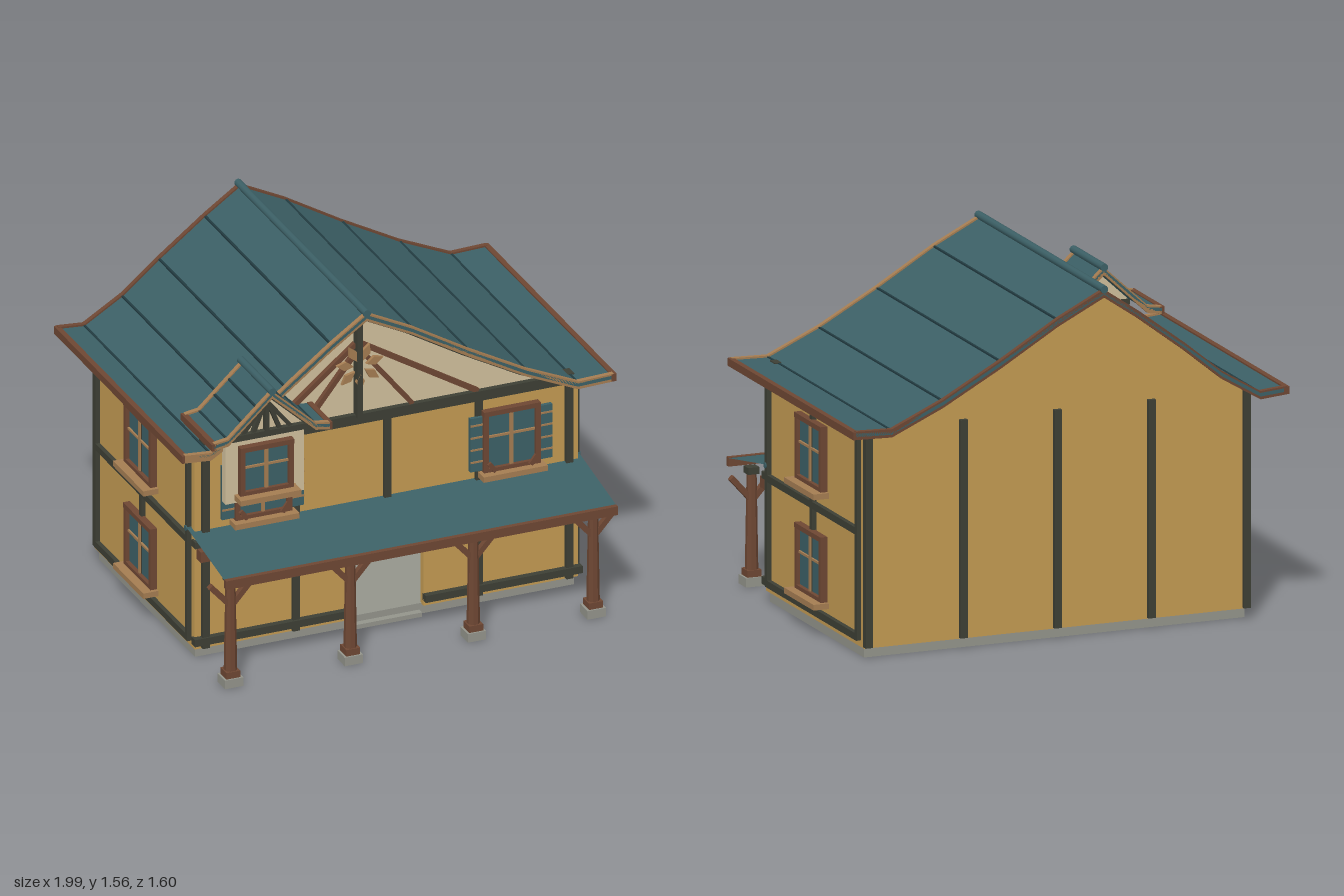
import * as THREE from 'three';

const mat = (name, color) => new THREE.MeshStandardMaterial({ name, color, side: THREE.DoubleSide });
const M = {
  wall: mat('ochre plaster', 0xc39a52), cream: mat('cream plaster', 0xd0bf9c),
  roof: mat('teal roof', 0x3c6066), seam: mat('dark teal seam', 0x223b41),
  dark: mat('dark timber', 0x3d3f35), brown: mat('brown wood', 0x6e4733),
  tan: mat('tan wood', 0xa57d52), stone: mat('grey stone', 0x93948b),
};

function add(parent, name, geo, material, x = 0, y = 0, z = 0) {
  const m = new THREE.Mesh(geo, material);
  m.name = name;
  m.position.set(x, y, z);
  parent.add(m);
  return m;
}
// box given by its min and max on each axis
function box(parent, name, material, x0, x1, y0, y1, z0, z1) {
  return add(parent, name, new THREE.BoxGeometry(x1 - x0, y1 - y0, z1 - z0), material,
    (x0 + x1) / 2, (y0 + y1) / 2, (z0 + z1) / 2);
}
// sloping beam between two points of a vertical plane facing z
function beam(parent, name, material, [xa, ya], [xb, yb], w, z, d) {
  const m = add(parent, name, new THREE.BoxGeometry(Math.hypot(xb - xa, yb - ya), w, d), material,
    (xa + xb) / 2, (ya + yb) / 2, z);
  m.rotation.z = Math.atan2(yb - ya, xb - xa);
}
// outline extruded from z0 to z1
function slab(parent, name, material, pts, z0, z1) {
  const shape = new THREE.Shape(pts.map(p => new THREE.Vector2(p[0], p[1])));
  const geo = new THREE.ExtrudeGeometry(shape, { depth: z1 - z0, bevelEnabled: false });
  return add(parent, name, geo, material, 0, 0, z0);
}
// band that follows a roof profile, between two heights relative to it
function band(parent, name, material, profile, lo, hi, z0, z1) {
  const bottom = profile.map(([x, y]) => [x, y + lo]);
  const top = profile.map(([x, y]) => [x, y + hi]).reverse();
  return slab(parent, name, material, [...bottom, ...top], z0, z1);
}

// window facing +z with its back at z = 0, centred on x = 0, bottom at y = 0
function makeWindow(name, w, h, { shutters = false, sill = 0.05 } = {}) {
  const g = new THREE.Group();
  g.name = name;
  const a = w / 2, f = 0.022;
  box(g, 'glass', M.roof, -a + f, a - f, f, h - f, 0, 0.012);
  for (const s of [-1, 1]) {
    const x = s * (a - f / 2);
    box(g, 'sideFrame', M.brown, x - f / 2, x + f / 2, 0, h, 0, 0.03);
  }
  box(g, 'topFrame', M.brown, -a, a, h - f, h, 0, 0.032);
  box(g, 'bottomFrame', M.brown, -a, a, 0, f, 0, 0.03);
  box(g, 'mullion', M.tan, -0.008, 0.008, f, h - f, 0, 0.022);
  box(g, 'crossBar', M.tan, -a + f, a - f, h * 0.57 - 0.005, h * 0.57 + 0.005, 0, 0.02);
  box(g, 'sill', M.tan, -a - 0.017, a + 0.017, -0.02, 0.005, 0, sill);
  if (shutters) for (const s of [-1, 1]) {
    const x = s * (a + 0.03);
    box(g, 'shutter', M.roof, x - 0.028, x + 0.028, 0.015, h - 0.025, 0, 0.018);
    for (let i = 0; i < 4; i++) {
      const y = 0.06 + i * 0.057;
      box(g, 'shutterSlat', M.tan, x - 0.028, x + 0.028, y - 0.004, y + 0.004, 0.016, 0.022);
    }
    beam(g, 'windowBracket', M.brown, [s * (a - 0.05), 0.01], [s * (a - 0.02), 0.05], 0.02, 0.036, 0.012);
  }
  return g;
}

// curved gable roof with seams, bargeboards, eave strips and ridge cap
function makeRoof(name, profile, ridge, z0, z1, t, backMat) {
  const g = new THREE.Group();
  g.name = name;
  band(g, 'roofSkin', M.roof, profile, -t, 0, z0, z1);
  band(g, 'frontBargeboard', M.tan, profile, -t - 0.012, 0.008, z1 - 0.022, z1);
  band(g, 'rearBargeboard', backMat, profile, -t - 0.012, 0.008, z0, z0 + 0.022);
  profile.forEach(([x, y], i) => {
    if (i === 0 || i === profile.length - 1)
      box(g, 'eaveStrip', M.brown, x - 0.012, x + 0.012, y - t - 0.012, y + 0.006, z0, z1);
    else if (x !== ridge)
      box(g, 'roofSeam', M.seam, x - 0.005, x + 0.005, y - 0.005, y + 0.004, z0 + 0.022, z1 - 0.022);
  });
  const top = Math.max(...profile.map(p => p[1]));
  const cap = new THREE.CylinderGeometry(0.017, 0.017, z1 - z0 + 0.008, 10).rotateX(Math.PI / 2);
  add(g, 'ridgeCap', cap, M.roof, ridge, top + 0.008, (z0 + z1) / 2);
  return g;
}

export function createModel() {
  const house = new THREE.Group();
  house.name = 'timberHouse';

  // foundation and step
  box(house, 'foundation', M.stone, -0.87, 0.87, 0, 0.05, -0.615, 0.4);
  box(house, 'doorStep', M.stone, -0.16, 0.16, 0, 0.02, 0.39, 0.43);

  // hollow walls, the front one notched by the doorway
  slab(house, 'frontWall', M.wall, [[-0.88, 0.045], [-0.17, 0.045], [-0.17, 0.5], [0.17, 0.5],
    [0.17, 0.045], [0.88, 0.045], [0.88, 1], [-0.88, 1]], 0.39, 0.42);
  for (const s of [-1, 1])
    box(house, 'sideWall', M.wall, s * 0.865 - 0.015, s * 0.865 + 0.015, 0.045, 1, -0.61, 0.39);

  // main roof and gables
  const profile = [[-0.985, 1.03], [-0.865, 1.02], [-0.69, 1.125], [-0.52, 1.265], [-0.31, 1.425],
    [-0.15, 1.535], [0.06, 1.43], [0.32, 1.275], [0.585, 1.13], [0.82, 1.025], [0.985, 1.03]];
  house.add(makeRoof('mainRoof', profile, -0.15, -0.8, 0.56, 0.016, M.brown));
  const inner = profile.slice(1, -1).map(([x, y]) => [x, y - 0.016]);
  slab(house, 'rearWall', M.wall, [[-0.88, 0.045], [0.88, 0.045], [0.88, 1.005], ...[...inner].reverse(),
    [-0.88, 1.0]], -0.64, -0.61);
  slab(house, 'frontGable', M.cream, inner, 0.4, 0.45);
  band(house, 'gableRafter', M.dark, profile.slice(1, -1), -0.055, -0.016, 0.45, 0.48);

  // gable truss with carved leaf ornament
  const truss = new THREE.Group();
  truss.name = 'gableTruss';
  house.add(truss);
  box(truss, 'tieBeam', M.dark, -0.86, 0.84, 1.0, 1.03, 0.42, 0.475);
  box(truss, 'kingPost', M.dark, -0.163, -0.137, 1.02, 1.5, 0.45, 0.49);
  for (const [top, foot] of [[[-0.14, 1.36], [0.4, 1.03]], [[-0.14, 1.33], [0.1, 1.03]],
    [[-0.16, 1.36], [-0.56, 1.03]], [[-0.16, 1.32], [-0.39, 1.03]]])
    beam(truss, 'gableBrace', M.brown, top, foot, 0.022, 0.46, 0.024);
  for (let i = 0; i < 7; i++) {
    const leaf = slab(truss, 'carvedLeaf', M.tan, [[0.03, 0], [0.07, -0.02], [0.11, 0], [0.07, 0.02]], 0, 0.015);
    leaf.position.set(-0.15, 1.26, 0.475);
    leaf.rotation.z = 0.25 + i * Math.PI * 2 / 7;
  }

  // timber frame on the front
  for (const [y0, y1] of [[0.97, 1], [0.53, 0.56]])
    box(house, 'frontRail', M.dark, -0.89, 0.89, y0, y1, 0.41, 0.448);
  for (const s of [-1, 1]) {
    box(house, 'frontSill', M.dark, s > 0 ? 0.17 : -0.89, s > 0 ? 0.89 : -0.18, 0.07, 0.103, 0.41, 0.448);
    box(house, 'frontPost', M.dark, s * 0.835 - 0.016, s * 0.835 + 0.016, 0.05, 1, 0.41, 0.44);
    box(house, 'frontStud', M.dark, s * 0.42 - 0.016, s * 0.42 + 0.016, 0.05, 1, 0.41, 0.438);
  }
  box(house, 'frontStud', M.dark, -0.016, 0.016, 0.53, 1, 0.41, 0.438);

  // timber frame and windows on both sides
  for (const s of [-1, 1]) {
    const x0 = s * 0.885 - 0.015, x1 = s * 0.885 + 0.015;
    for (const y of [0.088, 0.548, 0.985]) box(house, 'sideRail', M.dark, x0, x1, y - 0.016, y + 0.015, -0.6, 0.385);
    for (const z of [0.375, -0.11, -0.595]) box(house, 'sideStud', M.dark, x0, x1, 0.075, 1, z - 0.013, z + 0.013);
    for (const y of [0.15, 0.63]) {
      const w = makeWindow('sideWindow', 0.286, 0.29, { sill: 0.07 });
      w.position.set(s * 0.885, y, -0.11);
      w.rotation.y = s * Math.PI / 2;
      house.add(w);
    }
    box(house, 'rearCornerPost', M.dark, s * 0.865 - 0.016, s * 0.865 + 0.016, 0.05, 1, -0.66, -0.63);
  }
  for (const x of [-0.43, 0, 0.43]) box(house, 'rearStud', M.dark, x - 0.017, x + 0.017, 0.05, 1, -0.66, -0.63);

  // shuttered front windows
  for (const x of [-0.58, 0.56]) {
    const w = makeWindow('frontWindow', 0.26, 0.29, { shutters: true, sill: 0.065 });
    w.position.set(x, 0.63, 0.435);
    house.add(w);
  }

  // hanging dormer
  const dormer = new THREE.Group();
  dormer.name = 'dormer';
  house.add(dormer);
  const c = -0.63;
  const half = [[0.265, 1.115], [0.2, 1.125], [0.13, 1.19], [0.065, 1.25]];
  const dp = [...half.map(([x, y]) => [c - x, y]), [c, 1.31], ...[...half].reverse().map(([x, y]) => [c + x, y])];
  dormer.add(makeRoof('dormerRoof', dp, c, 0.335, 0.665, 0.014, M.tan));
  box(dormer, 'dormerWall', M.cream, c - 0.18, c + 0.18, 0.785, 1.1, 0.55, 0.585);
  slab(dormer, 'dormerGable', M.cream, dp.slice(1, -1).map(([x, y]) => [x, y - 0.014]), 0.55, 0.59);
  box(dormer, 'dormerTie', M.dark, c - 0.21, c + 0.21, 1.085, 1.112, 0.55, 0.615);
  band(dormer, 'dormerRafter', M.dark, dp.slice(1, -1), -0.04, -0.014, 0.59, 0.61);
  box(dormer, 'dormerKingPost', M.dark, c - 0.01, c + 0.01, 1.11, 1.28, 0.59, 0.615);
  for (const s of [-1, 1]) for (const x of [0.06, 0.11])
    beam(dormer, 'dormerBrace', M.dark, [c + s * 0.01, 1.235], [c + s * x, 1.11], 0.018, 0.6, 0.02);
  const dw = makeWindow('dormerWindow', 0.245, 0.23, { sill: 0.07 });
  dw.position.set(c, 0.82, 0.585);
  dormer.add(dw);

  // porch roof and fascia
  const porch = new THREE.Group();
  porch.name = 'porch';
  house.add(porch);
  const dy = 0.07, dz = 0.41;
  const sheet = new THREE.PlaneGeometry(1.8, Math.hypot(dy, dz)).rotateX(Math.atan2(-dz, dy));
  add(porch, 'porchRoof', sheet, M.roof, 0, 0.605 - dy / 2, 0.38 + dz / 2);
  add(porch, 'porchRidge', new THREE.CylinderGeometry(0.013, 0.013, 1.81, 8).rotateZ(Math.PI / 2), M.roof, 0, 0.602, 0.378);
  box(porch, 'porchFascia', M.brown, -0.9, 0.9, 0.5, 0.54, 0.778, 0.8);
  box(porch, 'porchLedger', M.brown, -0.88, 0.88, 0.48, 0.53, 0.44, 0.485);

  // porch posts with footings and braces
  for (const x of [-0.835, -0.285, 0.28, 0.83]) {
    const post = new THREE.Group();
    post.name = 'porchPost';
    post.position.set(x, 0, 0.695);
    porch.add(post);
    box(post, 'footing', M.stone, -0.042, 0.042, 0, 0.04, -0.04, 0.04);
    const shaft = new THREE.CylinderGeometry(0.021, 0.029, 0.47, 8).rotateY(Math.PI / 8).toNonIndexed();
    shaft.computeVertexNormals();
    add(post, 'shaft', shaft, M.brown, 0, 0.275, 0);
    box(post, 'postFoot', M.brown, -0.032, 0.032, 0.04, 0.07, -0.032, 0.032);
    box(post, 'postHead', M.dark, -0.026, 0.026, 0.485, 0.515, -0.026, 0.026);
    for (const s of [-1, 1])
      beam(post, 'postBrace', M.brown, [s * 0.01, 0.38], [s * 0.095, 0.475], 0.025, 0, 0.026);
  }
  return house;
}
